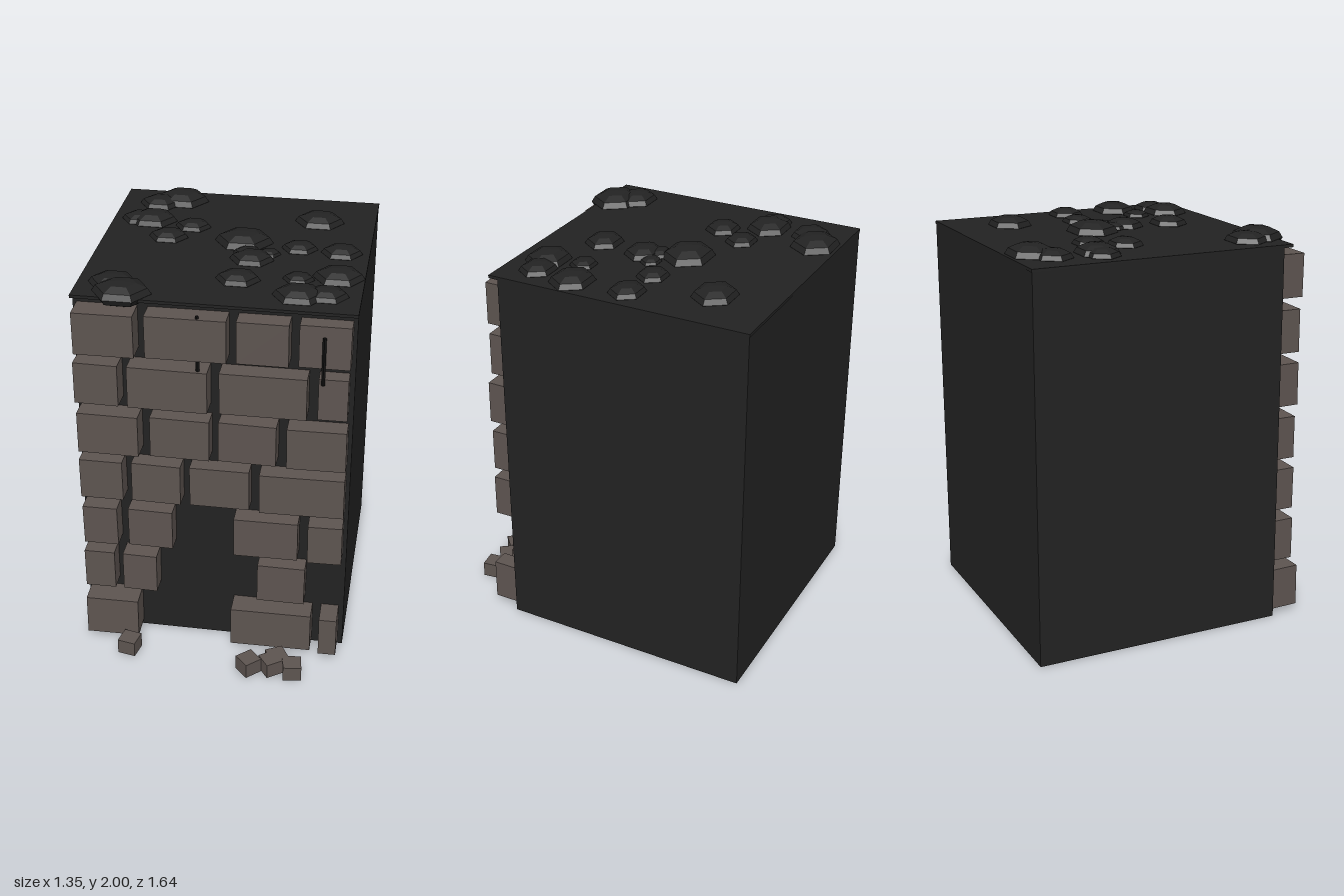
import * as THREE from 'three';

export function createModel() {
  const model = new THREE.Group();
  const mat = (name, color) => {
    const m = new THREE.MeshStandardMaterial({ color, flatShading: true });
    m.name = name;
    return m;
  };
  const rock = mat('dark rock', 0x222222);
  const stone = mat('weathered stone', 0x5d5450);
  const black = mat('black root', 0x131313);

  const box = (name, material, size, pos, rot = [0, 0, 0], parent = model) => {
    const mesh = new THREE.Mesh(new THREE.BoxGeometry(...size), material);
    mesh.name = name;
    mesh.position.set(...pos);
    mesh.rotation.set(...rot);
    parent.add(mesh);
    return mesh;
  };
  const group = (name) => {
    const g = new THREE.Group();
    g.name = name;
    model.add(g);
    return g;
  };
  let seed = 7;
  const jitter = (a) => {
    seed = (seed * 16807) % 2147483647;
    return (seed / 2147483647 - 0.5) * 2 * a;
  };

  // Solid block behind the wall and the overhanging roof plate
  box('body', rock, [1.34, 1.925, 1.29], [-0.005, 0.9625, -0.178]);
  box('roofPlate', rock, [1.345, 0.015, 1.34], [-0.005, 1.931, -0.155]);

  // Brick courses, bottom to top: [left x, right x, front z] per brick
  const courses = [
    [[-0.66, -0.39, 0.61], [0.095, 0.505, 0.59], [0.55, 0.64, 0.605]],
    [[-0.665, -0.51, 0.57], [-0.465, -0.29, 0.57], [0.225, 0.465, 0.56]],
    [[-0.66, -0.485, 0.57], [-0.43, -0.205, 0.56], [0.105, 0.425, 0.565], [0.475, 0.645, 0.57]],
    [[-0.665, -0.45, 0.565], [-0.405, -0.16, 0.56], [-0.115, 0.18, 0.555], [0.23, 0.645, 0.565]],
    [[-0.66, -0.36, 0.58], [-0.305, -0.015, 0.565], [0.03, 0.31, 0.56], [0.36, 0.645, 0.57]],
    [[-0.665, -0.45, 0.575], [-0.405, -0.02, 0.58], [0.035, 0.45, 0.57], [0.5, 0.64, 0.55]],
    [[-0.655, -0.365, 0.59], [-0.315, 0.07, 0.575], [0.115, 0.36, 0.565], [0.405, 0.645, 0.55]],
  ];
  const wall = group('brickWall');
  courses.forEach((course, row) => {
    for (const [x0, x1, z] of course) {
      box('brick', stone, [x1 - x0, 0.216, z - 0.45],
        [(x0 + x1) / 2, 0.14 + row * 0.273, (z + 0.45) / 2],
        [jitter(0.01), jitter(0.025), jitter(0.01)], wall);
    }
  });

  // Rubble in front of the doorway: x, z, turn
  const rubble = group('rubble');
  for (const [x, z, turn] of [
    [-0.42, 0.685, -0.2], [0.212, 0.75, 0.75], [0.35, 0.695, 0.5],
    [0.325, 0.735, 0.62], [0.435, 0.752, 0.14],
  ]) box('rubbleBlock', stone, [0.093, 0.08, 0.093], [x, 0.04, z], [0, turn, 0], rubble);

  // Thin hanging roots
  const roots = group('hangingRoots');
  for (const [x, y0, y1, z] of [[0.522, 1.59, 1.835, 0.562], [-0.067, 1.61, 1.9, 0.56]]) {
    const root = new THREE.Mesh(new THREE.CylinderGeometry(0.009, 0.009, y1 - y0, 4), black);
    root.name = 'root';
    root.position.set(x, (y0 + y1) / 2, z);
    roots.add(root);
  }

  // Flattened six-sided mounds on the roof: x, z, radius
  const mounds = group('roofMounds');
  const moundShape = new THREE.SphereGeometry(1, 6, 6);
  for (const [x, z, r] of [
    [-0.37, -0.706, 0.141], [-0.475, -0.64, 0.11], [-0.47, -0.418, 0.126], [-0.535, -0.42, 0.1],
    [-0.25, -0.365, 0.092], [-0.35, -0.218, 0.1], [0.035, -0.217, 0.148], [0.382, -0.523, 0.127],
    [0.32, -0.173, 0.091], [0.53, -0.15, 0.103], [0.075, -0.08, 0.075], [0.177, -0.087, 0.06],
    [0.103, -0.01, 0.11], [0.072, 0.225, 0.109], [0.355, 0.18, 0.077], [0.542, 0.133, 0.126],
    [0.378, 0.36, 0.127], [0.505, 0.34, 0.105], [-0.505, 0.355, 0.12], [-0.443, 0.447, 0.144],
  ]) {
    const mound = new THREE.Mesh(moundShape, rock);
    mound.name = 'mound';
    mound.position.set(x, 1.94, z);
    mound.scale.set(r, r * 0.4, r * 0.85);
    mounds.add(mound);
  }
  return model;
}
